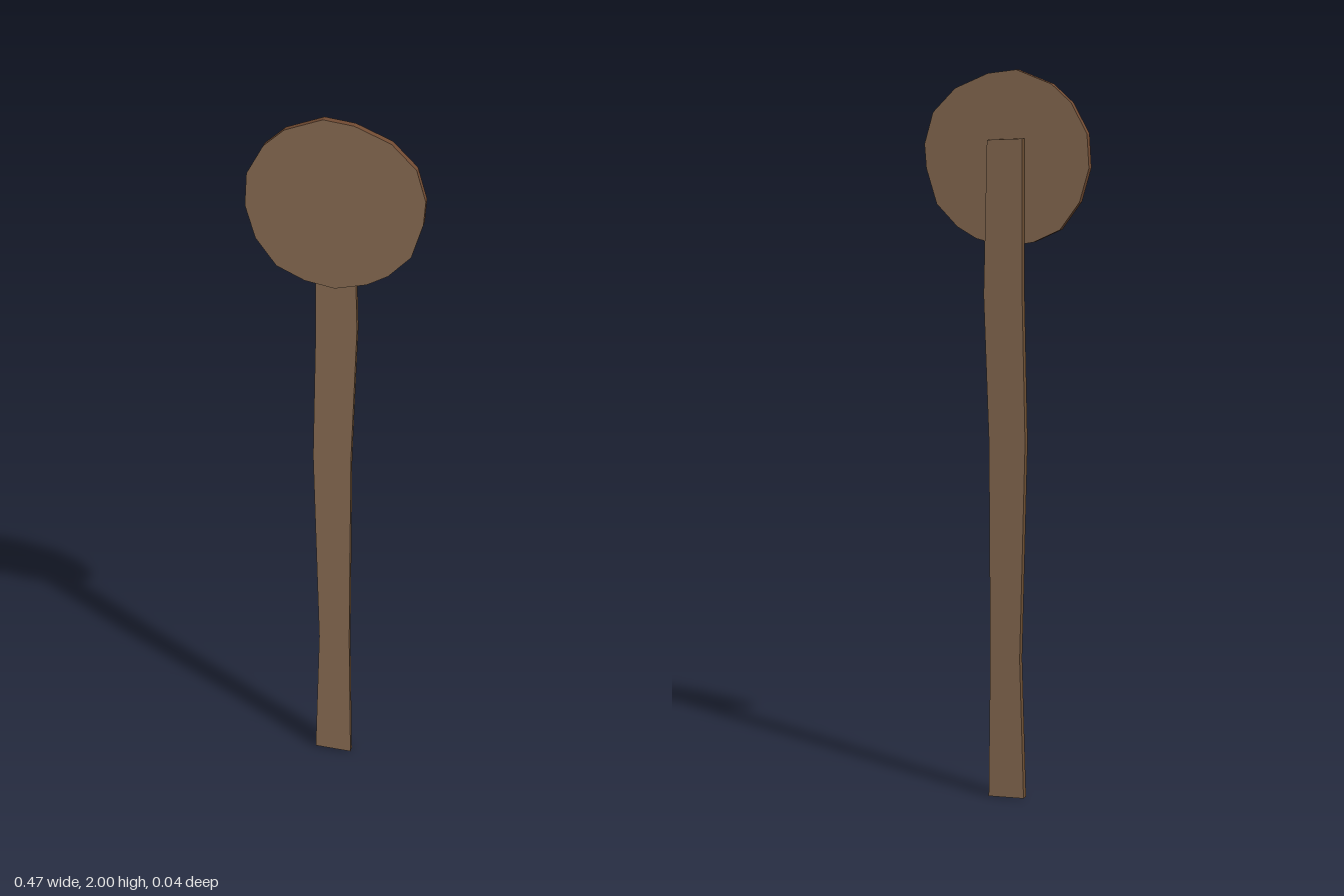
import * as THREE from 'three';

function material(name, color) {
  const m = new THREE.MeshStandardMaterial({ color });
  m.name = name;
  return m;
}

// Flat board cut from an outline, with its own colour on the cut edge
function board(name, outline, thickness, z, face, edge) {
  const shape = new THREE.Shape(outline.map(([x, y]) => new THREE.Vector2(x, y)));
  const geometry = new THREE.ExtrudeGeometry(shape, { depth: thickness, bevelEnabled: false });
  const mesh = new THREE.Mesh(geometry, [face, edge]);
  mesh.name = name;
  mesh.position.z = z;
  return mesh;
}

export function createModel() {
  const group = new THREE.Group();
  group.name = 'signpost';
  const face = material('weathered wood face', 0x8e7056);
  const discEdge = material('reddish cut wood', 0x704a32);
  const postEdge = material('brown cut wood', 0x6e5034);

  // Uneven hand-cut round sign
  const disc = [
    [-0.03, 2], [0.05, 1.99], [0.145, 1.95], [0.21, 1.885], [0.235, 1.8], [0.23, 1.735],
    [0.2, 1.64], [0.14, 1.58], [0.085, 1.55], [0, 1.53], [-0.08, 1.545], [-0.155, 1.58],
    [-0.21, 1.655], [-0.236, 1.745], [-0.23, 1.835], [-0.185, 1.915], [-0.13, 1.963],
  ];
  group.add(board('roundSign', disc, 0.02, 0, face, discEdge));

  // Slightly crooked plank behind it
  const post = [
    [-0.062, 0.005], [0.042, 0], [0.037, 0.4], [0.04, 1], [0.055, 1.4], [0.045, 1.815],
    [-0.055, 1.82], [-0.056, 1.4], [-0.065, 1], [-0.05, 0.4],
  ];
  group.add(board('post', post, 0.019, -0.021, face, postEdge));

  return group;
}
